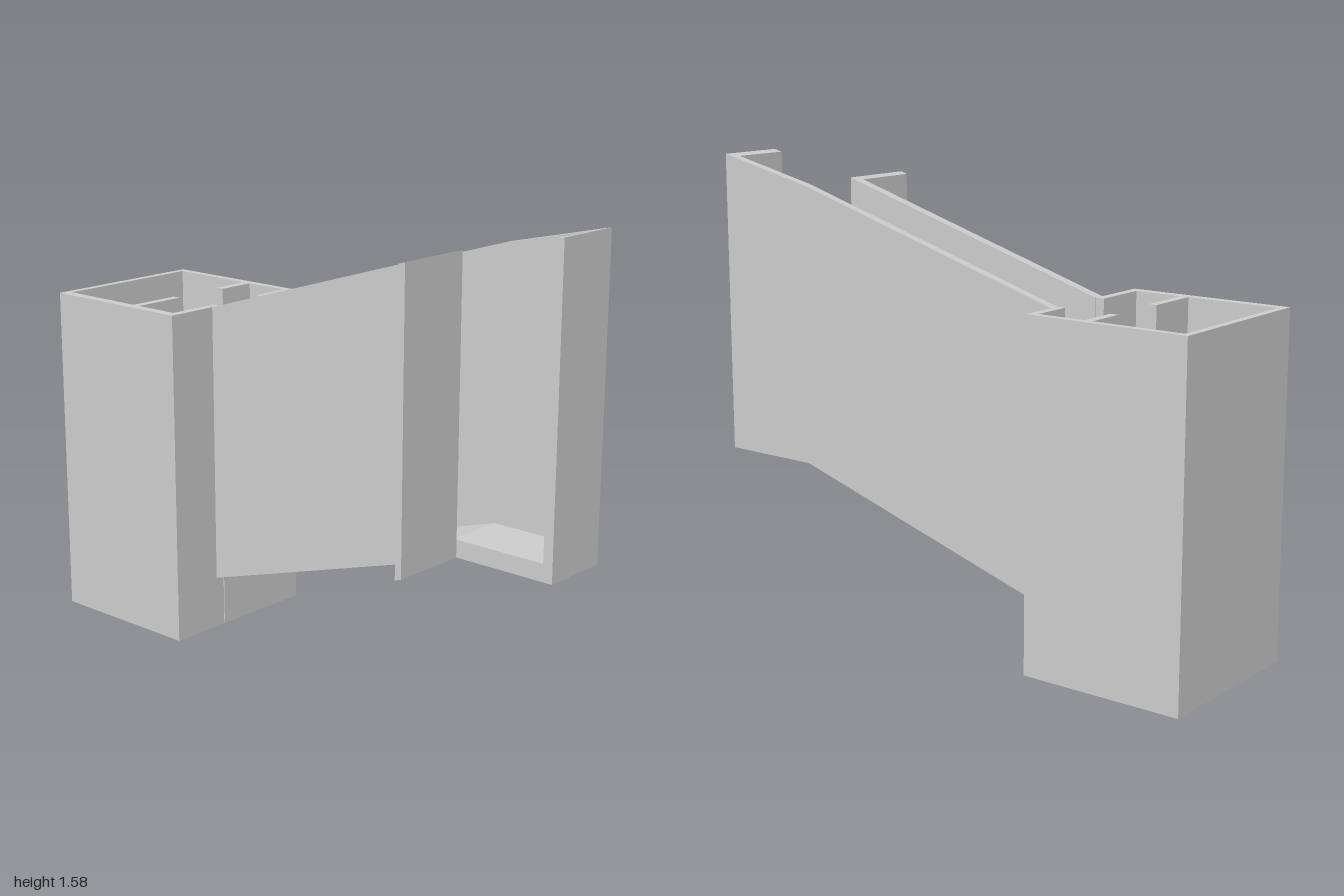
import * as THREE from 'three';

const material = new THREE.MeshStandardMaterial({ color: 0xcccccc });

const shapeOf = (pts) => new THREE.Shape(pts.map(([x, y]) => new THREE.Vector2(x, y)));

// side profile [x, y] extruded from z0 to z1
function sidePart(name, pts, z0, z1) {
  const geo = new THREE.ExtrudeGeometry(shapeOf(pts), { depth: z1 - z0, bevelEnabled: false });
  geo.translate(0, 0, z0);
  const mesh = new THREE.Mesh(geo, material);
  mesh.name = name;
  return mesh;
}

// floor plan [x, z] extruded from y0 to y1
function planPart(name, pts, y0, y1) {
  const geo = new THREE.ExtrudeGeometry(shapeOf(pts.map(([x, z]) => [x, -z])), { depth: y1 - y0, bevelEnabled: false });
  geo.rotateX(-Math.PI / 2);
  geo.translate(0, y0, 0);
  const mesh = new THREE.Mesh(geo, material);
  mesh.name = name;
  return mesh;
}

export function createModel() {
  const group = new THREE.Group();
  group.name = 'hopperWithChute';

  // tower walls with two inner fins, open towards the chute
  group.add(planPart('towerWalls', [
    [-0.42, -0.16], [-0.45, -0.16], [-0.45, -0.3], [-0.62, -0.3], [-0.62, -0.16], [-0.65, -0.16],
    [-0.65, -0.3], [-0.975, -0.3], [-0.975, 0.245], [-0.65, 0.245], [-0.65, 0.055], [-0.62, 0.055],
    [-0.62, 0.245], [-0.45, 0.245], [-0.45, 0.055], [-0.42, 0.055],
    [-0.42, 0.28], [-1, 0.28], [-1, -0.327], [-0.42, -0.327],
  ], 0, 1.175));

  // sloping floor inside the tower, in line with the chute floor
  group.add(sidePart('towerFloor', [
    [-0.975, 0], [-0.45, 0], [-0.45, 0.236], [-0.975, 0.076],
  ], -0.3, 0.245));

  // chute floor, rising and then level
  group.add(sidePart('chuteFloor', [
    [-0.45, 0], [-0.42, 0], [-0.42, 0.185], [0.63, 0.505], [0.97, 0.505],
    [0.97, 0.565], [0.62, 0.565], [-0.45, 0.236],
  ], -0.16, 0.052));

  // chute walls
  group.add(sidePart('chuteBackWall', [
    [-0.42, 0.185], [0.63, 0.505], [1, 0.505], [1, 1.575], [0.63, 1.49], [-0.42, 1.175],
  ], -0.194, -0.16));
  group.add(sidePart('chuteFrontWall', [
    [-0.42, 0.185], [0.605, 0.497], [0.605, 1.487], [-0.42, 1.175],
  ], 0.052, 0.09));
  group.add(sidePart('chuteEndWall', [
    [0.965, 0.505], [1, 0.505], [1, 1.575], [0.965, 1.567],
  ], -0.16, 0.052));

  // thin flange standing out beside the outlet
  group.add(sidePart('outletFlange', [
    [0.605, 0.497], [0.63, 0.505], [0.63, 1.495], [0.605, 1.487],
  ], 0.052, 0.327));

  return group;
}
